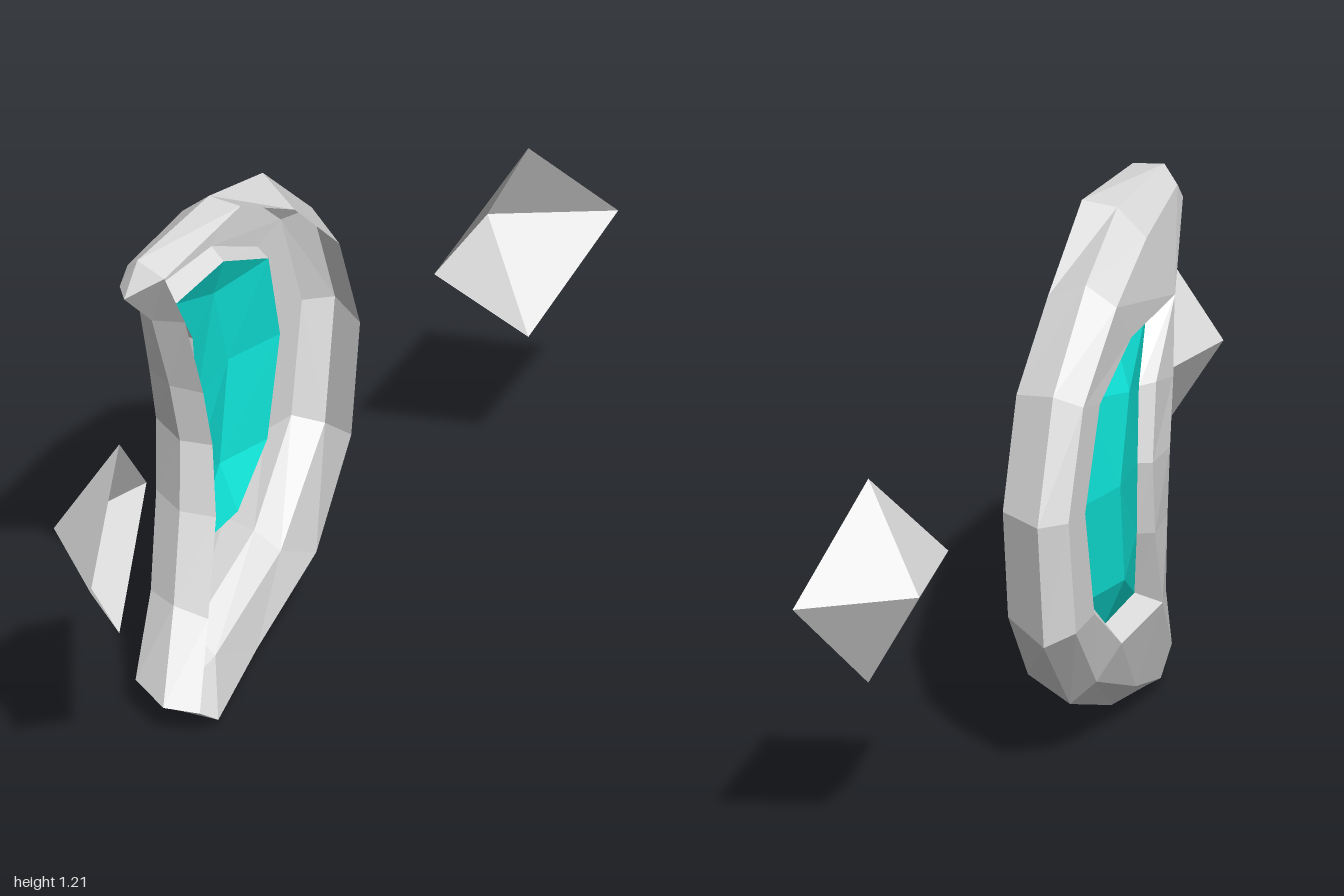
import * as THREE from 'three';

const stone = new THREE.MeshStandardMaterial({ color: 0xe0e0e0, flatShading: true, side: THREE.DoubleSide });
stone.name = 'paleGrey';
const teal = new THREE.MeshStandardMaterial({ color: 0x10eee2, flatShading: true, side: THREE.DoubleSide });
teal.name = 'teal';

// Closed loops run clockwise from the upper tip; each point is [x, y, z].
// Open front rim of the frame
const frontEdge = [
  [-0.52, 1.185, 0.03], [-0.21, 1.215, 0.015], [0.03, 1.08, -0.01], [0.2, 0.91, -0.01], [0.285, 0.665, -0.015],
  [0.245, 0.4, -0.01], [0.07, 0.195, 0.02], [-0.21, 0.1, 0.06], [-0.4, 0.02, 0.09],
  [-0.47, 0.07, 0.09], [-0.375, 0.25, 0.045], [-0.31, 0.47, 0.02], [-0.295, 0.64, 0], [-0.33, 0.79, 0], [-0.42, 1.02, 0.015],
  [-0.52, 1.185, 0.03],
];
// Widest line of the frame
const ridge = [
  [-0.51, 1.2, -0.05], [-0.21, 1.212, -0.07], [0.05, 1.13, -0.11], [0.25, 0.94, -0.12], [0.345, 0.665, -0.125],
  [0.3, 0.365, -0.12], [0.09, 0.15, -0.09], [-0.2, 0.035, -0.06], [-0.4, 0.003, -0.05],
  [-0.51, 0.08, 0.02], [-0.4, 0.27, -0.03], [-0.335, 0.47, -0.06], [-0.32, 0.64, -0.07], [-0.36, 0.8, -0.07], [-0.455, 1.02, -0.05],
  [-0.56, 1.125, -0.05],
];
// Outline of the back face
const backEdge = [
  [-0.49, 1.165, -0.09], [-0.21, 1.15, -0.14], [0.03, 1.08, -0.175], [0.21, 0.91, -0.175], [0.29, 0.665, -0.175],
  [0.25, 0.39, -0.175], [0.06, 0.2, -0.14], [-0.21, 0.085, -0.115], [-0.4, 0.03, -0.09],
  [-0.46, 0.09, -0.09], [-0.36, 0.26, -0.12], [-0.29, 0.47, -0.155], [-0.27, 0.64, -0.17], [-0.31, 0.79, -0.16], [-0.41, 1.03, -0.12],
  [-0.52, 1.125, -0.09],
];

// Opening in the back face and the rim of the pane: ten points each
const hole = [
  [-0.32, 0.98, -0.16], [-0.06, 0.975, -0.17], [0.12, 0.885, -0.175], [0.2, 0.655, -0.175], [0.15, 0.4, -0.175],
  [-0.02, 0.265, -0.165], [-0.275, 0.265, -0.15], [-0.2, 0.46, -0.165], [-0.165, 0.64, -0.175], [-0.195, 0.82, -0.17],
];
const rim = [
  [-0.28, 0.955, -0.11], [-0.07, 0.955, -0.13], [0.1, 0.88, -0.13], [0.165, 0.65, -0.145], [0.11, 0.41, -0.14],
  [-0.03, 0.3, -0.12], [-0.235, 0.295, -0.1], [-0.18, 0.46, -0.13], [-0.15, 0.64, -0.145], [-0.18, 0.81, -0.135],
];
// The two sharp corners of the opening are shared by several frame stations
const cornerOf = [0, 0, 1, 2, 3, 4, 5, 6, 6, 6, 6, 7, 8, 9, 0, 0];
const spread = (loop) => cornerOf.map((i) => loop[i]);

function facets(positions) {
  const geometry = new THREE.BufferGeometry();
  geometry.setAttribute('position', new THREE.Float32BufferAttribute(positions, 3));
  geometry.computeVertexNormals();
  return geometry;
}

// Joins successive closed loops with faces, leaving out collapsed triangles
function loft(loops) {
  const positions = [];
  const same = (a, b) => a.every((value, k) => value === b[k]);
  const triangle = (a, b, c) => {
    if (!same(a, b) && !same(b, c) && !same(a, c)) positions.push(...a, ...b, ...c);
  };
  for (let r = 0; r + 1 < loops.length; r++) {
    const p = loops[r], q = loops[r + 1];
    for (let i = 0; i < p.length; i++) {
      const j = (i + 1) % p.length;
      triangle(p[i], p[j], q[i]);
      triangle(p[j], q[j], q[i]);
    }
  }
  return facets(positions);
}

function addMesh(group, name, geometry, material) {
  const mesh = new THREE.Mesh(geometry, material);
  mesh.name = name;
  group.add(mesh);
}

export function createModel() {
  const model = new THREE.Group();
  model.name = 'crescentWithShards';

  // Crescent shell, open at the front, with a lip turned forward around the pane
  addMesh(model, 'crescentFrame', loft([frontEdge, ridge, backEdge, spread(hole), spread(rim)]), stone);

  // Teal pane, hollow at the front and folded along a backward ridge
  const fold = [[-0.05, 0.85, -0.17], [0.01, 0.65, -0.175], [-0.035, 0.41, -0.165]];
  const paneRidge = [0, 0, 0, 1, 2, 2, 2, 2, 1, 0].map((i) => fold[i]);
  addMesh(model, 'tealPane', loft([paneRidge, rim]), teal);

  // Mirrored floating shards: four-sided shells, open at the front
  for (const side of [-1, 1]) {
    const top = [side * 0.775, 0.908, 0.09], bottom = [side * 0.775, 0.425, 0.09];
    const back = [side * 0.822, 0.667, -0.053];
    const outer = [side, 0.667, 0.172], inner = [side * 0.545, 0.667, 0];
    const faces = [];
    for (const [a, b] of [[outer, back], [back, inner]]) {
      const [from, to] = side > 0 ? [a, b] : [b, a];
      faces.push(...from, ...to, ...top, ...to, ...from, ...bottom);
    }
    addMesh(model, side > 0 ? 'leftShard' : 'rightShard', facets(faces), stone);
  }
  return model;
}
